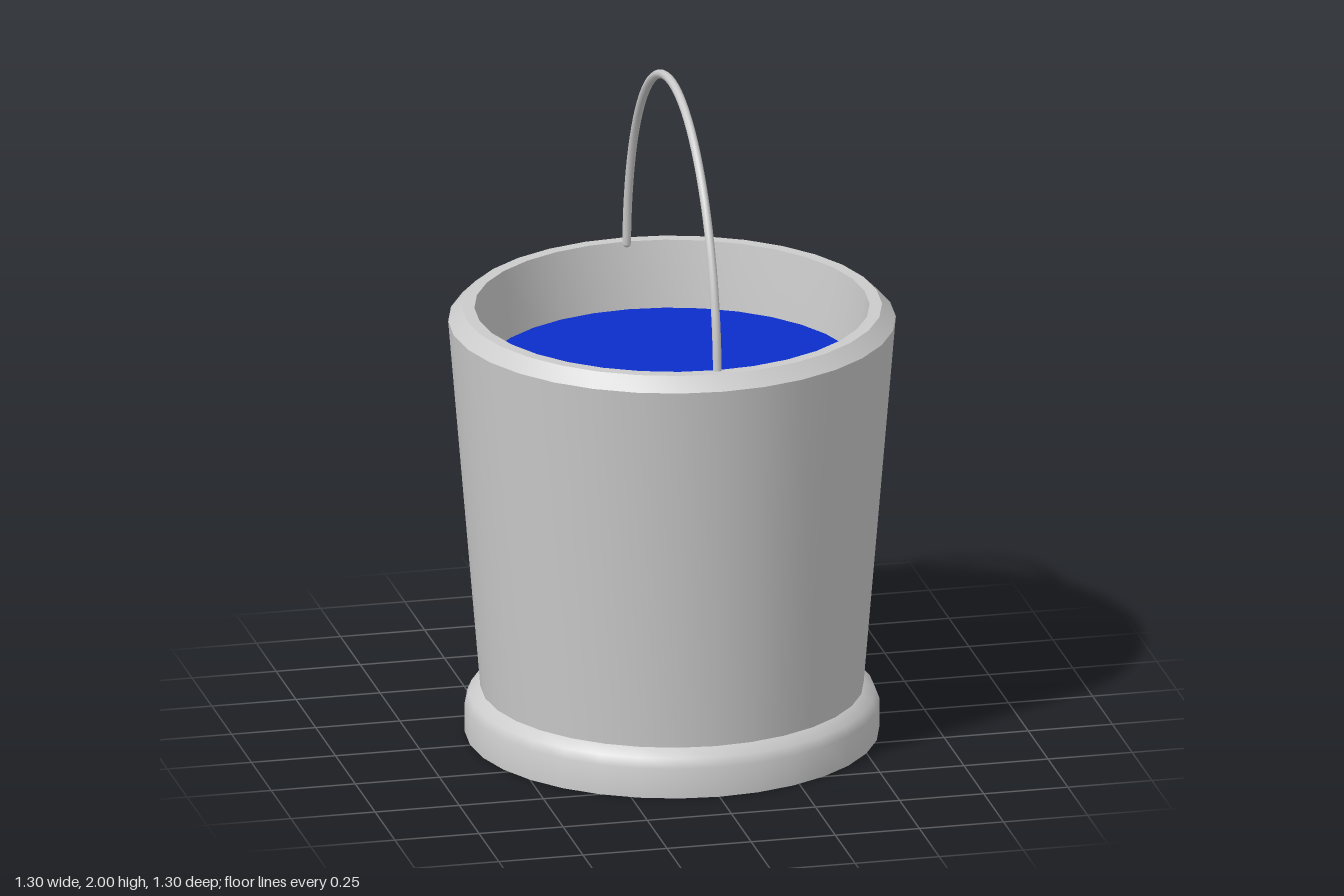
import * as THREE from 'three';
import { toCreasedNormals } from 'three/addons/utils/BufferGeometryUtils.js';

const SEGMENTS = 32;

export function createModel() {
  const model = new THREE.Group();
  const grey = new THREE.MeshStandardMaterial({ color: 0xcccccc });
  const blue = new THREE.MeshStandardMaterial({ color: 0x0b2ecb });

  function add(name, geometry, material) {
    const mesh = new THREE.Mesh(geometry, material);
    mesh.name = name;
    model.add(mesh);
    return mesh;
  }

  // Bucket: closed base, rounded foot, tapered wall, chamfered rim, inner wall and floor
  const profile = [
    [0, 0], [0.6, 0],
    [0.6, 0.09], [0.588, 0.118], [0.555, 0.14],
    [0.648, 1.26], [0.608, 1.3], [0.572, 1.3],
    [0.548, 1.1], [0.48, 0.14], [0, 0.14],
  ].map(([r, y]) => new THREE.Vector2(r, y));
  add('bucket', toCreasedNormals(new THREE.LatheGeometry(profile, SEGMENTS), 0.75), grey);

  // Water surface
  const water = add('water', new THREE.CircleGeometry(0.549, SEGMENTS), blue);
  water.rotation.x = -Math.PI / 2;
  water.position.y = 1.1;

  // Handle: elliptical wire hoop running front to back, ending at the rim
  const centre = 1.25, reach = 0.574, rise = 0.736;
  const start = Math.asin((1.295 - centre) / rise);
  const points = [];
  for (let i = 0; i <= 24; i++) {
    const a = start + (Math.PI - 2 * start) * (i / 24);
    points.push(new THREE.Vector3(0, centre + rise * Math.sin(a), reach * Math.cos(a)));
  }
  const path = new THREE.CatmullRomCurve3(points);
  add('handle', new THREE.TubeGeometry(path, 48, 0.013, 10), grey);

  // Caps closing the two ends of the handle
  for (const end of [0, 1]) {
    const cap = add('handleEnd', new THREE.SphereGeometry(0.013, 10, 6), grey);
    cap.position.copy(path.getPoint(end));
  }

  return model;
}
